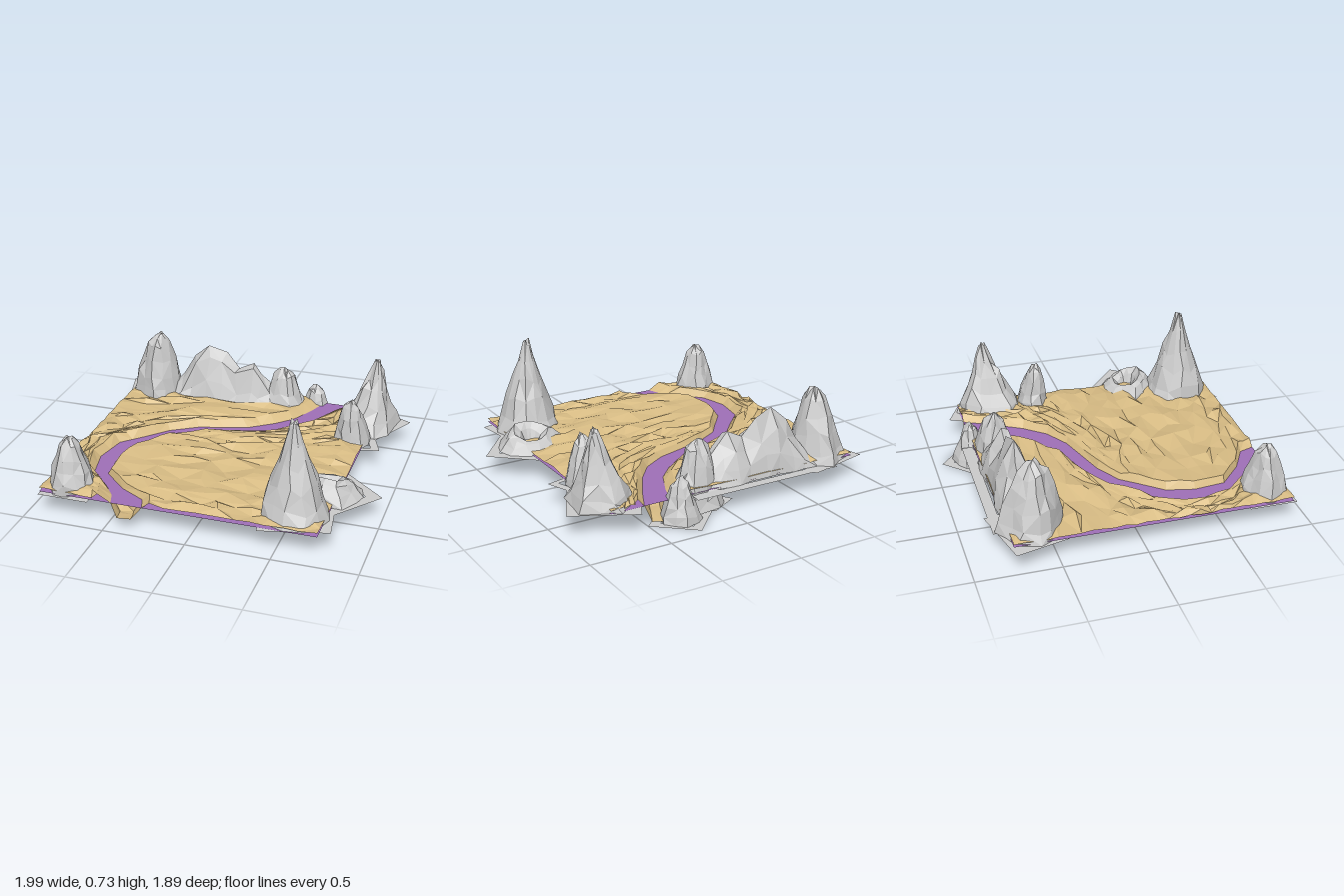
import * as THREE from 'three';

const mat = (color) => new THREE.MeshStandardMaterial({ color, flatShading: true, side: THREE.DoubleSide });
const stone = mat(0xcccccc);
const sand = mat(0xd9bd85);
const water = mat(0x9f70b8);

let seed = 7;
const rnd = () => {
  seed = (seed * 16807) % 2147483647;
  return seed / 2147483647;
};
const jit = (a) => (rnd() * 2 - 1) * a;
const lerp = THREE.MathUtils.lerp;

// Faceted surface from equal rows of [x, y, z] points
function surface(rows, material, name) {
  const pos = rows.flat(2), idx = [], n = rows[0].length;
  for (let i = 0; i < rows.length - 1; i++) {
    for (let j = 0; j < n - 1; j++) {
      const a = i * n + j, b = a + 1, c = a + n, d = c + 1;
      if ((i + j) % 2) idx.push(a, c, b, b, c, d);
      else idx.push(a, c, d, a, d, b);
    }
  }
  let g = new THREE.BufferGeometry();
  g.setAttribute('position', new THREE.Float32BufferAttribute(pos, 3));
  g.setIndex(idx);
  g = g.toNonIndexed();
  g.computeVertexNormals();
  const m = new THREE.Mesh(g, material);
  m.name = name;
  return m;
}

// Flat open frame of stone around a rock's foot; corners are [x, z]
function skirt(corners, y) {
  const cx = corners.reduce((s, p) => s + p[0], 0) / corners.length;
  const cz = corners.reduce((s, p) => s + p[1], 0) / corners.length;
  const ring = (k) => corners.map(([x, z]) => new THREE.Vector2(cx + (x - cx) * k, -(cz + (z - cz) * k)));
  const shape = new THREE.Shape(ring(1));
  shape.holes.push(new THREE.Path(ring(0.62)));
  const g = new THREE.ShapeGeometry(shape);
  g.rotateX(-Math.PI / 2);
  g.translate(0, y, 0);
  const m = new THREE.Mesh(g, stone);
  m.name = 'rockSkirt';
  return m;
}

// Profiles as [radius, height] fractions from foot to top
const BLUNT = [[1, 0], [0.9, 0.16], [0.77, 0.38], [0.6, 0.6], [0.42, 0.82], [0.17, 0.95], [0, 1]];
const SHARP = [[1, 0], [0.84, 0.16], [0.63, 0.36], [0.43, 0.58], [0.25, 0.78], [0.1, 0.97], [0, 1]];
const CRATER = [[1, 0], [0.85, 0.4], [0.66, 0.8], [0.5, 1], [0.32, 0.7], [0.2, 0.2], [0, 0.1]];

// Rock rising from an elliptical foot to a peak, with uneven rings
function rock(name, { c, r, base, top, profile = BLUNT, peak = c, tilt = 0, corners, n = 12 }) {
  const group = new THREE.Group();
  group.name = name;
  const lobes = Array.from({ length: n }, () => 1 + jit(0.13));
  const rows = profile.map(([k, h]) => {
    const cx = lerp(c[0], peak[0], h), cz = lerp(c[1], peak[1], h);
    const row = [];
    for (let j = 0; j < n; j++) {
      const a = (j / n) * Math.PI * 2 + (k && jit(0.1));
      const q = k * lobes[j] * (1 + jit(0.07));
      const lift = h > 0 && h < 1 ? jit(0.06) : 0;
      const slope = 1 + tilt * Math.sin(a) * (k > 0 ? 1 : 0);
      row.push([cx + Math.cos(a) * r[0] * q, base + (top - base) * (h * slope + lift), cz + Math.sin(a) * r[1] * q]);
    }
    row.push(row[0]);
    return row;
  });
  group.add(surface(rows, stone, name + 'Body'));
  if (corners) group.add(skirt(corners, base));
  return group;
}

// Sandy ground following the river: left x, left z, right x, right z, bed height
const RIVER = [
  [0.36, -0.76, 0.53, -0.76, 0.02], [0.31, -0.62, 0.45, -0.6, 0.04], [0.23, -0.46, 0.34, -0.41, 0.07],
  [0.13, -0.36, 0.23, -0.28, 0.08], [-0.02, -0.25, 0.08, -0.19, 0.1], [-0.32, -0.16, -0.26, -0.09, 0.11],
  [-0.48, -0.06, -0.42, 0.0, 0.1], [-0.6, 0.07, -0.5, 0.1, 0.08], [-0.72, 0.19, -0.61, 0.23, 0.06],
  [-0.76, 0.4, -0.65, 0.4, 0.1], [-0.72, 0.58, -0.63, 0.59, 0.09], [-0.58, 0.73, -0.48, 0.73, 0.08],
  [-0.51, 0.82, -0.32, 0.82, 0.04], [-0.48, 0.91, -0.29, 0.91, 0.06],
];
const X0 = -0.93, X1 = 0.74, Z0 = -0.76, Z1 = 0.91, LEVEL = 0.14;

function ground() {
  const steps = (RIVER.length - 1) * 2, rows = [];
  for (let i = 0; i <= steps; i++) {
    const a = RIVER[Math.floor(i / 2)], b = RIVER[Math.ceil(i / 2)];
    const [lx, lz, rx, rz, bed] = a.map((v, k) => (v + b[k]) / 2);
    const zb = lerp(Z0, Z1, i / steps), edge = i === 0 || i === steps;
    const across = (k, y) => [lerp(lx, rx, k), y, lerp(lz, rz, k)];
    const bankL = across(-0.42, 0.185 + jit(0.01)), bankR = across(1.25, 0.18 + jit(0.01));
    const row = [];
    const plain = (from, to, n, first, last) => {
      for (let j = first; j <= last; j++) {
        const t = j / n, rim = edge || t === 0 || t === 1;
        row.push([
          lerp(from[0], to[0], t) + (t === 0 || t === 1 ? 0 : jit(0.025)),
          rim ? 0.16 + jit(0.008) : 0.178 + jit(0.019),
          lerp(from[2], to[2], t) + (rim ? 0 : jit(0.018)),
        ]);
      }
    };
    plain([X0, 0, zb], bankL, 6, 0, 5);
    const out = i === steps ? 0.03 : 0;
    const beds = [across(0.25, bed + jit(0.01)), across(0.7, bed + 0.015 + jit(0.01))];
    beds.forEach((p) => { p[2] += out; });
    row.push(bankL, across(0, LEVEL), ...beds, across(1, LEVEL), bankR);
    plain(bankR, [X1, 0, zb], 10, 1, 10);
    rows.push(row);
  }
  return surface(rows, sand, 'sandyGround');
}

// Long ridge along the back: x, crest height
function ridge() {
  const crest = [[-0.66, 0.2], [-0.58, 0.29], [-0.5, 0.42], [-0.4, 0.51], [-0.3, 0.47], [-0.2, 0.37],
    [-0.1, 0.42], [-0.03, 0.35], [0.04, 0.27], [0.12, 0.2]];
  const section = [[-0.77, 0], [-0.74, 0.3], [-0.7, 0.66], [-0.64, 1], [-0.59, 0.85], [-0.54, 0.4], [-0.5, 0]];
  const rows = section.map(([z, h]) => crest.map(([x, y]) => [
    x + jit(0.015), 0.13 + (y - 0.13) * (h + (h > 0 && h < 1 ? jit(0.09) : 0)), z + jit(0.012),
  ]));
  const g = new THREE.Group();
  g.name = 'backRidge';
  g.add(surface(rows, stone, 'ridgeBody'));
  g.add(skirt([[-0.76, -0.84], [0.22, -0.83], [0.2, -0.5], [-0.76, -0.5]], 0.13));
  return g;
}

export function createModel() {
  const model = new THREE.Group();
  model.name = 'riverValley';

  // Water sheet under the whole ground, showing in the river
  const sheet = new THREE.Mesh(new THREE.PlaneGeometry(X1 - X0, Z1 - Z0), water);
  sheet.rotation.x = -Math.PI / 2;
  sheet.position.set((X0 + X1) / 2, LEVEL, (Z0 + Z1) / 2);
  sheet.name = 'water';
  model.add(sheet, ground(), ridge());

  // Rocks at the corners and along the back
  model.add(
    rock('backRightRock', { c: [-0.75, -0.62], r: [0.18, 0.19], base: 0.13, top: 0.57, peak: [-0.75, -0.6],
      corners: [[-1, -0.76], [-0.59, -0.86], [-0.52, -0.5], [-0.92, -0.44]] }),
    rock('frontRightRock', { c: [-0.77, 0.78], r: [0.14, 0.14], base: 0.13, top: 0.46, peak: [-0.78, 0.78],
      corners: [[-0.93, 0.93], [-0.62, 0.93], [-0.62, 0.64], [-0.93, 0.64]] }),
    rock('backLeftRock', { c: [0.69, -0.55], r: [0.2, 0.22], base: 0.135, top: 0.58, peak: [0.74, -0.58], profile: SHARP,
      corners: [[0.59, -0.84], [0.96, -0.65], [0.78, -0.3], [0.42, -0.5]] }),
    rock('leftSmallRock', { c: [0.66, -0.27], r: [0.12, 0.12], base: 0.135, top: 0.43, peak: [0.65, -0.25],
      corners: [[0.79, -0.36], [0.85, -0.2], [0.6, -0.14], [0.52, -0.33]], n: 9 }),
    rock('frontLeftSpire', { c: [0.56, 0.69], r: [0.2, 0.2], base: 0.135, top: 0.72, peak: [0.545, 0.7], profile: SHARP,
      corners: [[0.75, 0.5], [0.8, 0.84], [0.4, 0.94], [0.34, 0.6]] }),
    rock('leftCrater', { c: [0.68, 0.39], r: [0.22, 0.19], base: 0.135, top: 0.235, profile: CRATER, tilt: 0.35,
      corners: [[0.74, 0.15], [0.99, 0.37], [0.75, 0.67], [0.46, 0.42]] }),
    rock('backRiverRock', { c: [0.12, -0.64], r: [0.17, 0.15], base: 0.02, top: 0.42, peak: [0.11, -0.64],
      corners: [[-0.1, -0.7], [0.08, -0.8], [0.33, -0.6], [0.1, -0.38]] }),
    rock('backSmallRock', { c: [0.29, -0.77], r: [0.12, 0.11], base: 0.005, top: 0.27, peak: [0.3, -0.76],
      corners: [[0.27, -0.95], [0.5, -0.75], [0.3, -0.55], [0.08, -0.76]], n: 9 }),
  );
  return model;
}
